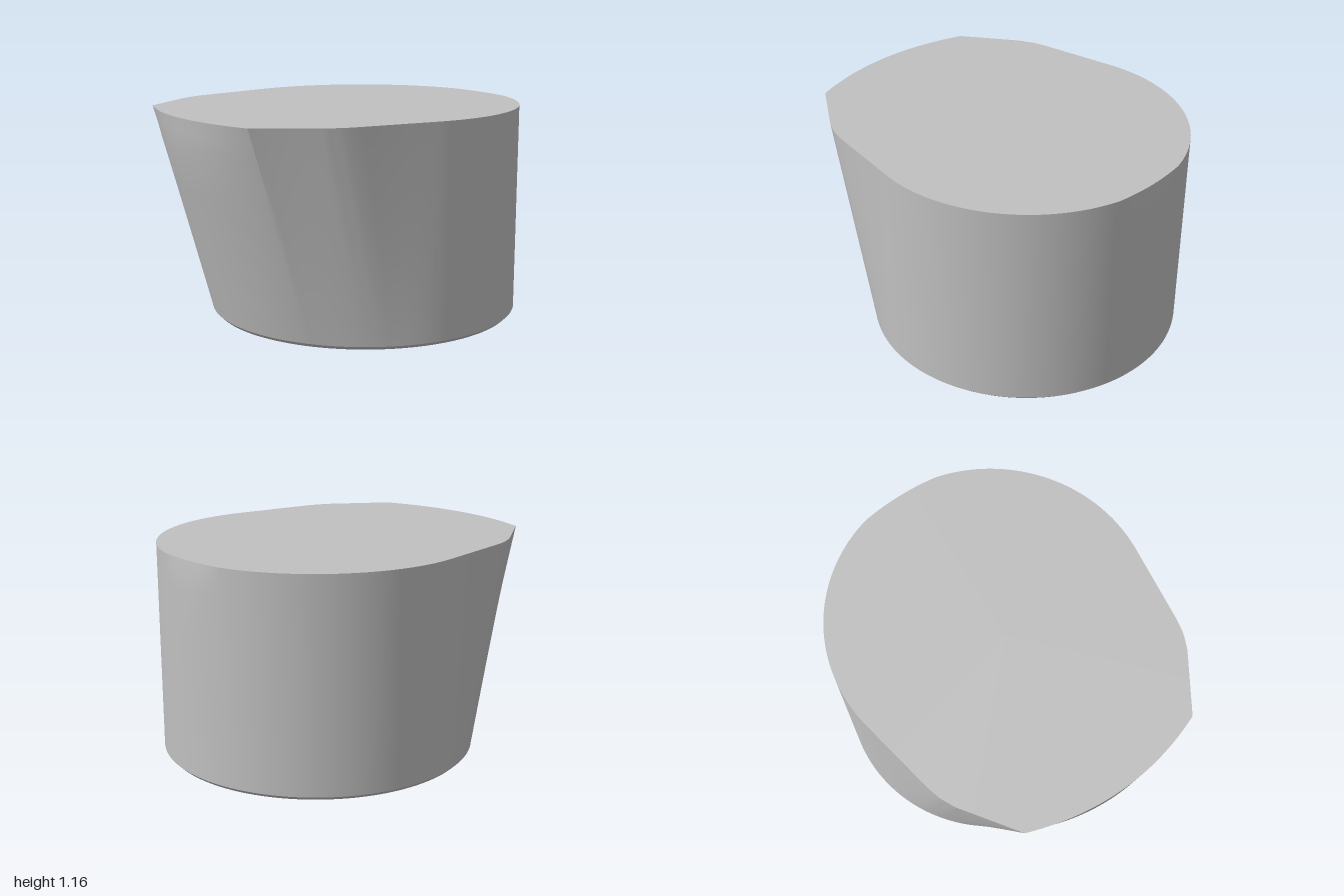
import * as THREE from 'three';
import { toCreasedNormals } from 'three/addons/utils/BufferGeometryUtils.js';

const CX = 0.14, R = 0.86, H = 1.16, CHAMFER = 0.02, N = 360;

// Half-outline of the rim on the spout side, as [z, x]
const RIM = [[0.847, -0.01], [0.775, -0.45], [0.757, -0.52], [0.72, -0.6], [0.5176, -0.9]];

function rimX(z) {
  const a = Math.abs(z), tip = RIM[RIM.length - 1];
  if (a <= tip[0]) return -1 + 0.1 * (a / tip[0]) ** 2;
  for (let i = 1; i < RIM.length; i++) {
    const [z0, x0] = RIM[i - 1], [z1, x1] = RIM[i];
    if (a >= z1) return x0 + (x1 - x0) * (z0 - a) / (z0 - z1);
  }
  return tip[1];
}

// Point on the wall at angle a and height y: round base blending into the flared rim
function wallPoint(a, y) {
  const r = y < CHAMFER ? R - CHAMFER : R;
  const z = r * Math.sin(a);
  let x = CX + r * Math.cos(a);
  if (y >= CHAMFER && Math.cos(a) < 0 && Math.abs(z) < RIM[0][0]) {
    const t = (y - CHAMFER) / (H - CHAMFER);
    x += (rimX(z) - x) * t;
    // slight fullness below the tip of the spout
    const bulge = 0.02 * Math.min(t / 0.86, (1 - t) / 0.14);
    x -= bulge * Math.max(0, 1 - (z / 0.5176) ** 2);
  }
  // shallow rounding of the rim opposite the spout
  if (y > 1) x = Math.min(x, 1 - 0.012 * ((y - 1) / 0.16) ** 2 - z * z / 2.8);
  return [x, y, z];
}

function bodyGeometry() {
  const rows = [0, CHAMFER, 0.25, 0.5, 0.75, 1, 1.08, H];
  const pos = [], index = [];
  for (const y of rows) {
    for (let i = 0; i < N; i++) pos.push(...wallPoint(i / N * Math.PI * 2, y));
  }
  const bottom = rows.length * N, top = bottom + 1, last = (rows.length - 1) * N;
  pos.push(CX, 0, 0, 0, H, 0);
  for (let i = 0; i < N; i++) {
    const j = (i + 1) % N;
    for (let k = 0; k < rows.length - 1; k++) {
      const a = k * N + i, b = k * N + j;
      index.push(a, a + N, b, b, a + N, b + N);
    }
    index.push(bottom, i, j, top, last + j, last + i);
  }
  const g = new THREE.BufferGeometry();
  g.setAttribute('position', new THREE.Float32BufferAttribute(pos, 3));
  g.setIndex(index);
  return toCreasedNormals(g, 0.4);
}

export function createModel() {
  const grey = new THREE.MeshStandardMaterial({ color: 0xc0c0c0 });
  grey.name = 'light grey';
  const body = new THREE.Mesh(bodyGeometry(), grey);
  body.name = 'flaredBody';
  const model = new THREE.Group();
  model.name = 'flaredBlock';
  model.add(body);
  return model;
}
